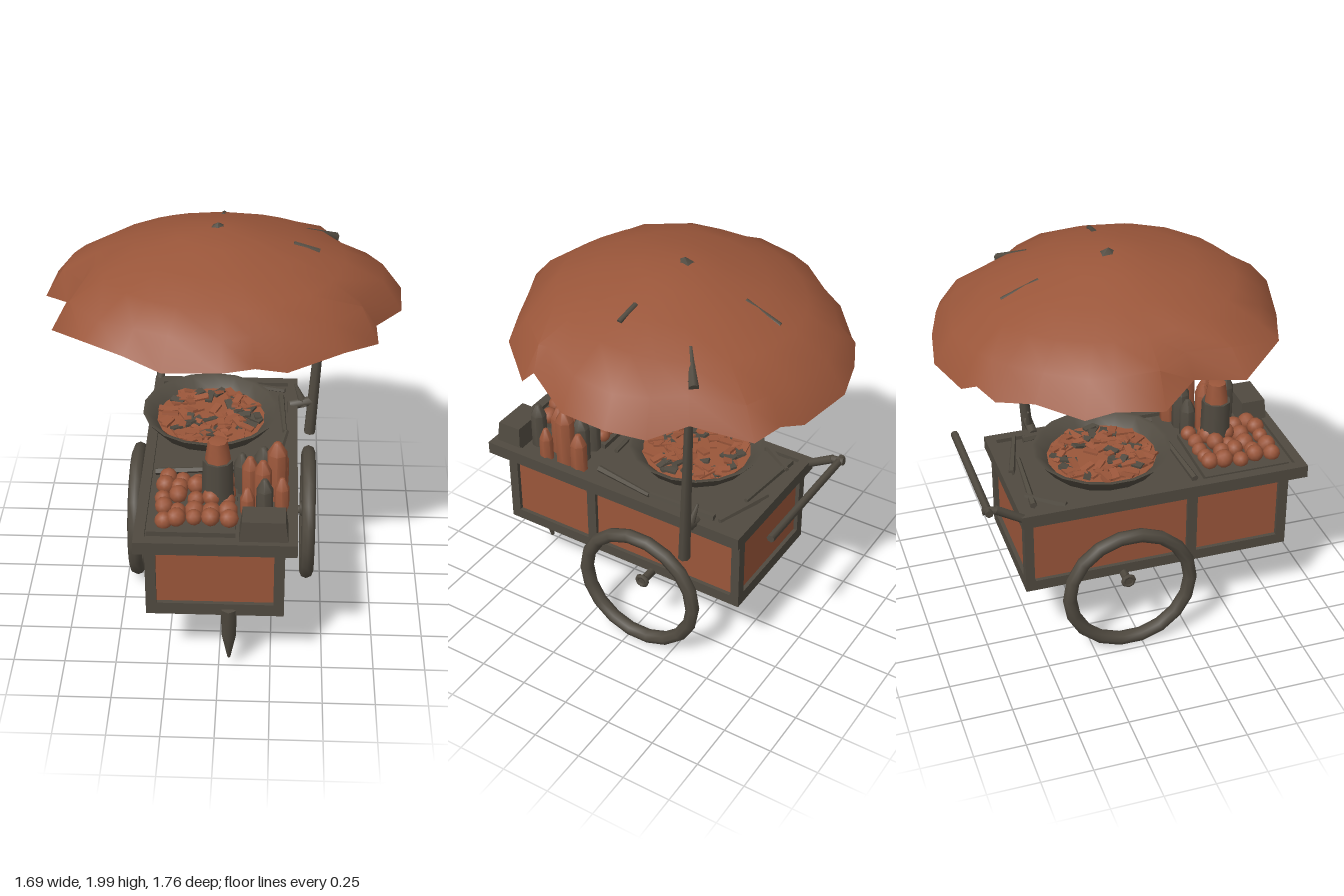
import * as THREE from 'three';
import { toCreasedNormals } from 'three/addons/utils/BufferGeometryUtils.js';

const rust = new THREE.MeshStandardMaterial({ color: 0x9a563a, side: THREE.DoubleSide });
rust.name = 'rust orange';
const iron = new THREE.MeshStandardMaterial({ color: 0x504a40, side: THREE.DoubleSide });
iron.name = 'dark iron';

const V = (x, y, z) => new THREE.Vector3(x, y, z);

// Small seeded generator for scattered food
function seeded(seed) {
  return () => (seed = (seed * 16807) % 2147483647) / 2147483647;
}

export function createModel() {
  const model = new THREE.Group();
  model.name = 'foodCart';

  const add = (name, geo, mat, x = 0, y = 0, z = 0, parent = model) => {
    const mesh = new THREE.Mesh(geo, mat);
    mesh.name = name;
    mesh.position.set(x, y, z);
    parent.add(mesh);
    return mesh;
  };
  // Box given by its minimum and maximum corners
  const box = (name, mat, a, b) => add(name,
    new THREE.BoxGeometry(b[0] - a[0], b[1] - a[1], b[2] - a[2]), mat,
    (a[0] + b[0]) / 2, (a[1] + b[1]) / 2, (a[2] + b[2]) / 2);
  // Tapered rod between two points
  const rod = (name, a, b, ra, rb = ra, mat = iron, sides = 7) => {
    const d = b.clone().sub(a);
    const m = add(name, toCreasedNormals(new THREE.CylinderGeometry(rb, ra, d.length(), sides), 1), mat);
    m.position.copy(a).addScaledVector(d, 0.5);
    m.quaternion.setFromUnitVectors(V(0, 1, 0), d.normalize());
    return m;
  };
  const lathe = (pts, sides) => toCreasedNormals(
    new THREE.LatheGeometry(pts.map(p => new THREE.Vector2(p[0], p[1])), sides), 0.9);

  // Cabinet with orange panels
  const L = -0.34, R = 0.31, F = 0.8, B = -0.56;
  box('cabinetPanels', rust, [L + 0.02, 0.385, B + 0.02], [R - 0.02, 0.79, F - 0.02]);
  box('frontUnderPlate', iron, [L + 0.02, 0.375, 0.3], [R - 0.02, 0.385, F - 0.02]);

  // Iron frame: posts and rails
  for (const x of [L, R - 0.05]) {
    for (const [z, w] of [[F - 0.05, 0.05], [0.27, 0.05], [B, 0.045]])
      box('framePost', iron, [x, 0.37, z], [x + 0.05, 0.79, z + w]);
    box('bottomSideRail', iron, [x, 0.365, B], [x + 0.05, 0.42, F]);
  }
  for (const z of [B, F - 0.05])
    box('bottomCrossRail', iron, [L, 0.365, z], [R, 0.43, z + 0.05]);

  // Tabletop with raised rim
  const TL = -0.385, TR = 0.365, TF = 0.88, TB = -0.58;
  box('tabletop', iron, [TL, 0.775, TB], [TR, 0.82, TF]);
  for (const x of [TL, TR - 0.05]) box('tableSideRim', iron, [x, 0.82, TB], [x + 0.05, 0.84, TF]);
  for (const z of [TB, TF - 0.05]) box('tableEndRim', iron, [TL, 0.82, z], [TR, 0.84, z + 0.05]);

  // Wheels and axle
  for (const [x, s] of [[-0.443, -1], [0.427, 1]]) {
    const tyre = add('wheel', new THREE.TorusGeometry(0.311, 0.035, 8, 18), iron, x, 0.35, -0.06);
    tyre.rotation.y = Math.PI / 2;
    const hub = add('axleRing', new THREE.TorusGeometry(0.027, 0.012, 6, 8), iron, x - s * 0.03, 0.37, -0.06);
    hub.rotation.y = Math.PI / 2;
  }
  rod('axle', V(-0.42, 0.365, -0.06), V(0.4, 0.365, -0.06), 0.022);

  // Front stand: pointed leg and bent brace
  rod('standLeg', V(0.05, 0.2, 0.76), V(0.05, 0.4, 0.785), 0.035, 0.04);
  rod('standFoot', V(0.05, 0.065, 0.75), V(0.05, 0.2, 0.76), 0.008, 0.035);
  const brace = new THREE.CatmullRomCurve3(
    [V(0.05, 0.17, 0.76), V(0.05, 0.19, 0.6), V(0.05, 0.24, 0.54), V(0.05, 0.31, 0.57), V(0.05, 0.39, 0.54)]);
  add('standBrace', new THREE.TubeGeometry(brace, 12, 0.025, 6), iron);

  // Push handle behind the cart, carried on one arm
  rod('handleBar', V(-0.39, 0.9, -0.735), V(0.34, 0.9, -0.735), 0.02);
  rod('handleArm', V(-0.36, 0.81, -0.55), V(-0.36, 0.9, -0.7), 0.022);
  rod('handleArmEnd', V(-0.36, 0.895, -0.69), V(-0.36, 0.905, -0.76), 0.02);

  // Canopy pole and its bracket
  rod('canopyPole', V(0.432, 0.67, -0.325), V(0.5, 1.76, -0.393), 0.03, 0.018);
  rod('poleBracket', V(0.33, 0.83, -0.33), V(0.44, 0.86, -0.335), 0.025);
  rod('poleBracketHook', V(0.35, 0.95, -0.35), V(0.4, 0.83, -0.33), 0.006, 0.025);

  // Tattered canopy: outline rings rising to the apex; entries are x, z, rim height
  const rim = [
    [-0.04, -0.88, 1.54], [0.25, -0.83, 1.53], [0.38, -0.78, 1.58], [0.52, -0.73, 1.56], [0.63, -0.47, 1.62],
    [0.76, -0.33, 1.57], [0.84, -0.17, 1.61], [0.83, 0.06, 1.61], [0.7, 0.3, 1.66],
    [0.71, 0.36, 1.6], [0.55, 0.55, 1.66], [0.3, 0.68, 1.63], [0.16, 0.72, 1.67],
    [0.02, 0.78, 1.68], [-0.25, 0.72, 1.64], [-0.42, 0.65, 1.68], [-0.6, 0.58, 1.71],
    [-0.77, 0.36, 1.64], [-0.73, 0.13, 1.66], [-0.85, -0.04, 1.6], [-0.82, -0.26, 1.62],
    [-0.77, -0.38, 1.57], [-0.62, -0.56, 1.6], [-0.47, -0.7, 1.55], [-0.38, -0.76, 1.59], [-0.28, -0.81, 1.53]];
  const levels = [[0.25, 1.955], [0.5, 1.905], [0.72, 1.84], [0.89, 1.755], [1, 0]];
  const n = rim.length, cx = -0.02, cz = -0.03;
  const pos = [cx, 1.985, cz], idx = [];
  for (const [t, y] of levels) rim.forEach(([x, z, ry]) => {
    // Inner rings follow a rounder outline than the ragged rim, and the back sags lower
    const r = Math.hypot(x - cx, z - cz), k = t * (t < 0.8 ? 0.81 / r : 1);
    const pz = cz + (z - cz) * k;
    pos.push(cx + (x - cx) * k, t < 1 ? y + (pz > 0 ? 0.04 : 0.09) * pz : ry, pz);
  });
  for (let i = 0; i < n; i++) {
    const j = (i + 1) % n;
    idx.push(0, 1 + j, 1 + i);
    for (let l = 0; l < levels.length - 1; l++) {
      const a = 1 + l * n + i, b = 1 + l * n + j;
      idx.push(a, b, a + n, b, b + n, a + n);
    }
  }
  const dome = new THREE.BufferGeometry();
  dome.setAttribute('position', new THREE.Float32BufferAttribute(pos, 3));
  dome.setIndex(idx);
  add('canopy', toCreasedNormals(dome, 0.7), rust);

  // Iron tip, pole head and rib patches barely showing through the cloth
  add('canopyTip', new THREE.ConeGeometry(0.05, 0.032, 5), iron, cx - 0.01, 1.984, cz - 0.01);
  rod('poleHead', V(0.38, 1.833, -0.32), V(0.53, 1.745, -0.43), 0.012, 0.024);
  rod('ribPatch', V(-0.02, 1.88, -0.37), V(-0.02, 1.808, -0.55), 0.012);
  rod('ribPatch', V(0.32, 1.916, 0.0), V(0.44, 1.884, 0.01), 0.014);

  // Wide pan
  const pan = add('pan', lathe([[0, 0.84], [0.22, 0.84], [0.28, 0.88], [0.34, 0.955], [0.32, 0.955], [0.26, 0.89]], 18),
    iron, -0.07, 0, -0.09);
  add('panFilling', new THREE.CylinderGeometry(0.27, 0.25, 0.03, 18), rust, 0, 0.89, 0, pan);
  const rnd = seeded(41);
  for (let i = 0; i < 90; i++) {
    const a = rnd() * 6.283, r = 0.24 * Math.sqrt(rnd());
    const chip = add('panFood', new THREE.BoxGeometry(0.06 + rnd() * 0.04, 0.012, 0.035), i % 4 ? rust : iron,
      r * Math.cos(a), 0.91 + rnd() * 0.012, r * Math.sin(a), pan);
    chip.rotation.set(rnd() * 0.5 - 0.25, rnd() * 6.283, rnd() * 0.5 - 0.25);
  }

  // Heaped fruit at the front
  box('fruitTray', iron, [-0.33, 0.82, 0.36], [0.08, 0.845, 0.8]);
  for (let i = 0; i < 5; i++) for (let j = 0; j < 5; j++) {
    const fruit = add('fruit', new THREE.IcosahedronGeometry(0.038 + rnd() * 0.01, 1), rust,
      -0.27 + i * 0.075 + rnd() * 0.02, 0.855 + rnd() * 0.04, 0.4 + j * 0.08 + rnd() * 0.02);
    fruit.rotation.set(rnd() * 3, rnd() * 3, 0);
  }

  // Tapered grey box at the front corner
  const crate = add('crate', new THREE.CylinderGeometry(0.14, 0.16, 0.115, 4, 1).rotateY(Math.PI / 4).toNonIndexed(),
    iron, 0.21, 0.885, 0.785);
  crate.geometry.computeVertexNormals();
  crate.scale.z = 0.62;

  // Bottles: x, z, radius, top, colour
  const bottles = [
    [0.14, 0.52, 0.04, 1.08, rust], [0.265, 0.47, 0.048, 1.13, rust], [0.2, 0.42, 0.045, 1.07, iron],
    [0.28, 0.38, 0.042, 1.03, rust], [0.21, 0.67, 0.04, 1.06, iron], [0.13, 0.6, 0.035, 0.96, rust],
    [0.2, 0.55, 0.042, 1.08, rust], [0.1, 0.42, 0.04, 1.03, iron], [0.29, 0.57, 0.035, 1.0, rust]];
  for (const [x, z, r, top, mat] of bottles)
    add('bottle', lathe([[0, 0.82], [r, 0.82], [r, top - 0.06], [r * 0.35, top - 0.005], [0, top]], 7), mat, x, 0, z);
  add('tallBottleLabel', new THREE.CylinderGeometry(0.072, 0.077, 0.25, 9), iron, -0.01, 0.945, 0.53);
  add('tallBottleNeck', lathe([[0.062, 1.06], [0.052, 1.13], [0.045, 1.17], [0, 1.18]], 8), rust, -0.01, 0, 0.53);

  // Utensils lying around the pan
  for (const [x1, z1, x2, z2] of [[-0.3, -0.5, 0.1, -0.47], [0, -0.53, 0.3, -0.44], [0.28, -0.4, 0.3, -0.05],
    [0.25, 0.28, 0.31, -0.05], [-0.32, 0.31, 0.1, 0.28], [-0.34, -0.35, -0.22, -0.52]])
    rod('utensil', V(x1, 0.84, z1), V(x2, 0.85, z2), 0.018, 0.012, iron, 5);

  return model;
}
